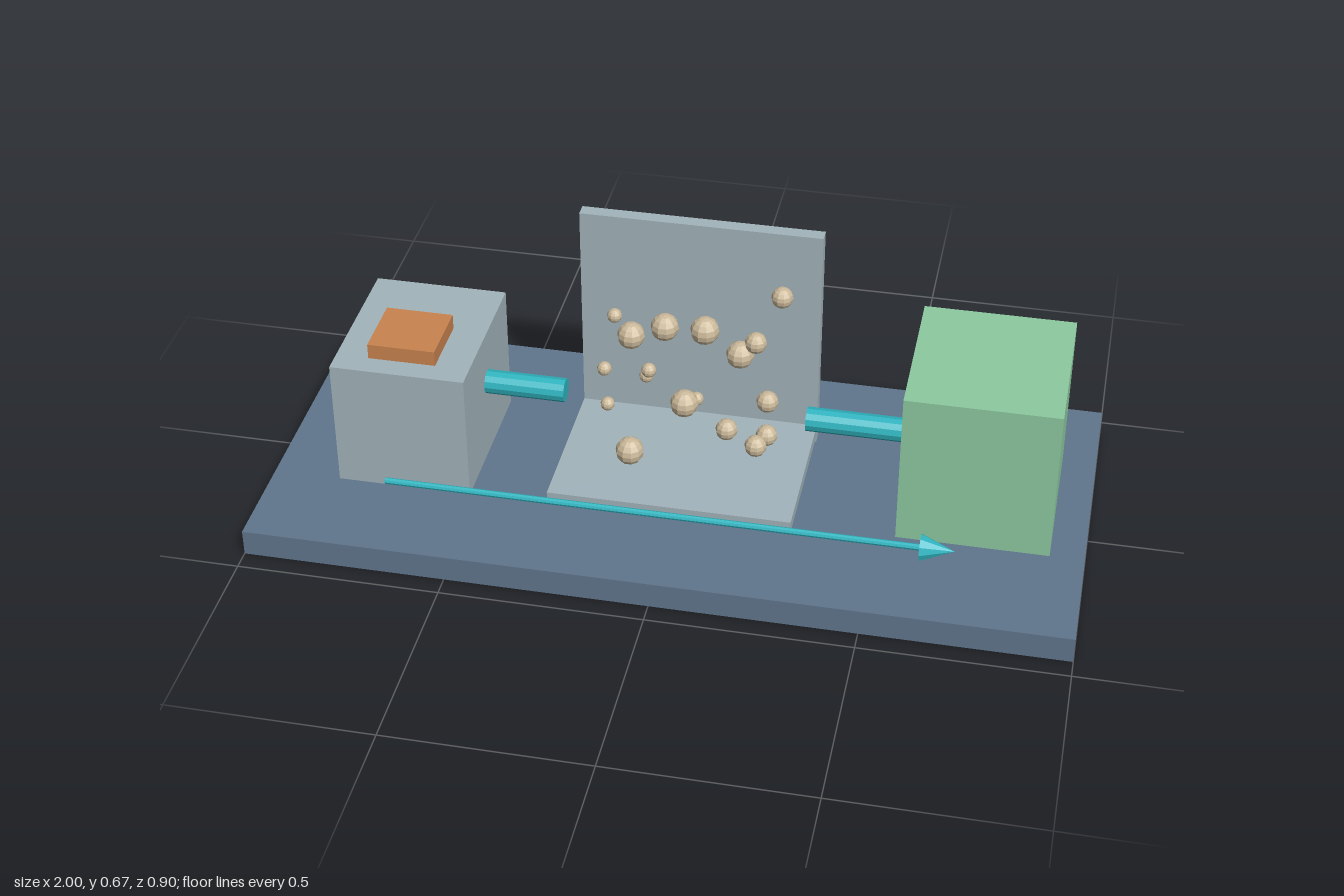
import * as THREE from 'three';

export function createModel() {
  const model = new THREE.Group();
  model.name = 'model';

  const material = (name, color, flatShading = false) => {
    const m = new THREE.MeshStandardMaterial({ color, flatShading });
    m.name = name;
    return m;
  };
  const slate = material('slate blue', 0x60768d);
  const steel = material('pale steel', 0xa3b4bc);
  const green = material('soft green', 0x8dcaa0);
  const copper = material('copper orange', 0xc9834f);
  const teal = material('teal', 0x2fb5c0, true);
  const sand = material('sand', 0xcdbb9c, true);

  const add = (name, geometry, mat, x, y, z, parent = model) => {
    const mesh = new THREE.Mesh(geometry, mat);
    mesh.name = name;
    mesh.position.set(x, y, z);
    parent.add(mesh);
    return mesh;
  };
  // Box given by its minimum and maximum corners
  const block = (name, mat, [x0, y0, z0], [x1, y1, z1]) =>
    add(name, new THREE.BoxGeometry(x1 - x0, y1 - y0, z1 - z0), mat,
      (x0 + x1) / 2, (y0 + y1) / 2, (z0 + z1) / 2);
  // Cylinder or cone lying along x
  const rod = (name, x0, x1, rStart, rEnd, y, z, sides) => {
    const g = new THREE.CylinderGeometry(rEnd, rStart, x1 - x0, sides);
    g.rotateZ(-Math.PI / 2);
    return add(name, g, teal, (x0 + x1) / 2, y, z);
  };

  // Base and the two end blocks
  block('base', slate, [-1, 0, -0.45], [1, 0.067, 0.45]);
  block('inletBlock', steel, [-0.833, 0.067, -0.2], [-0.5, 0.403, 0.2]);
  block('inletButton', copper, [-0.752, 0.403, -0.02], [-0.585, 0.442, 0.145]);
  block('outletBlock', green, [0.55, 0.1, -0.2], [0.917, 0.5, 0.2]);

  // Open chamber: back wall and floor plate
  block('chamberBackWall', steel, [-0.3, 0.067, -0.217], [0.3, 0.67, -0.183]);
  block('chamberFloor', steel, [-0.3, 0.085, -0.217], [0.3, 0.117, 0.217]);

  // Pipes joining the blocks to the chamber
  rod('inletPipe', -0.5, -0.3, 0.03, 0.03, 0.27, 0, 12);
  rod('outletPipe', 0.3, 0.55, 0.03, 0.03, 0.27, 0, 12);

  // Flow arrow
  rod('arrowShaft', -0.667, 0.63, 0.008, 0.008, 0.185, 0.333, 8);
  rod('arrowHead', 0.622, 0.703, 0.033, 0, 0.185, 0.333, 10);

  // Particles in the chamber, as x, y, z positions per size
  const particles = new THREE.Group();
  particles.name = 'particles';
  model.add(particles);
  const sizes = {
    0.018: [[-0.165, 0.533, 0.036], [-0.064, 0.447, 0.122], [-0.198, 0.36, 0.015],
      [-0.118, 0.273, -0.097], [-0.214, 0.187, -0.078], [0, 0.187, -0.142]],
    0.027: [[0.214, 0.533, -0.119], [0.165, 0.447, -0.04], [0.214, 0.36, 0.073],
      [0.118, 0.273, 0.085], [0.198, 0.273, 0.137], [0.198, 0.187, -0.025]],
    0.035: [[0.058, 0.533, 0.056], [-0.064, 0.447, -0.064], [-0.165, 0.36, -0.138],
      [0.115, 0.36, -0.108], [-0.003, 0.273, 0], [-0.118, 0.187, 0.102]],
  };
  for (const [radius, places] of Object.entries(sizes)) {
    const ball = new THREE.SphereGeometry(Number(radius), 10, 8);
    for (const p of places) add('particle', ball, sand, ...p, particles);
  }

  return model;
}
